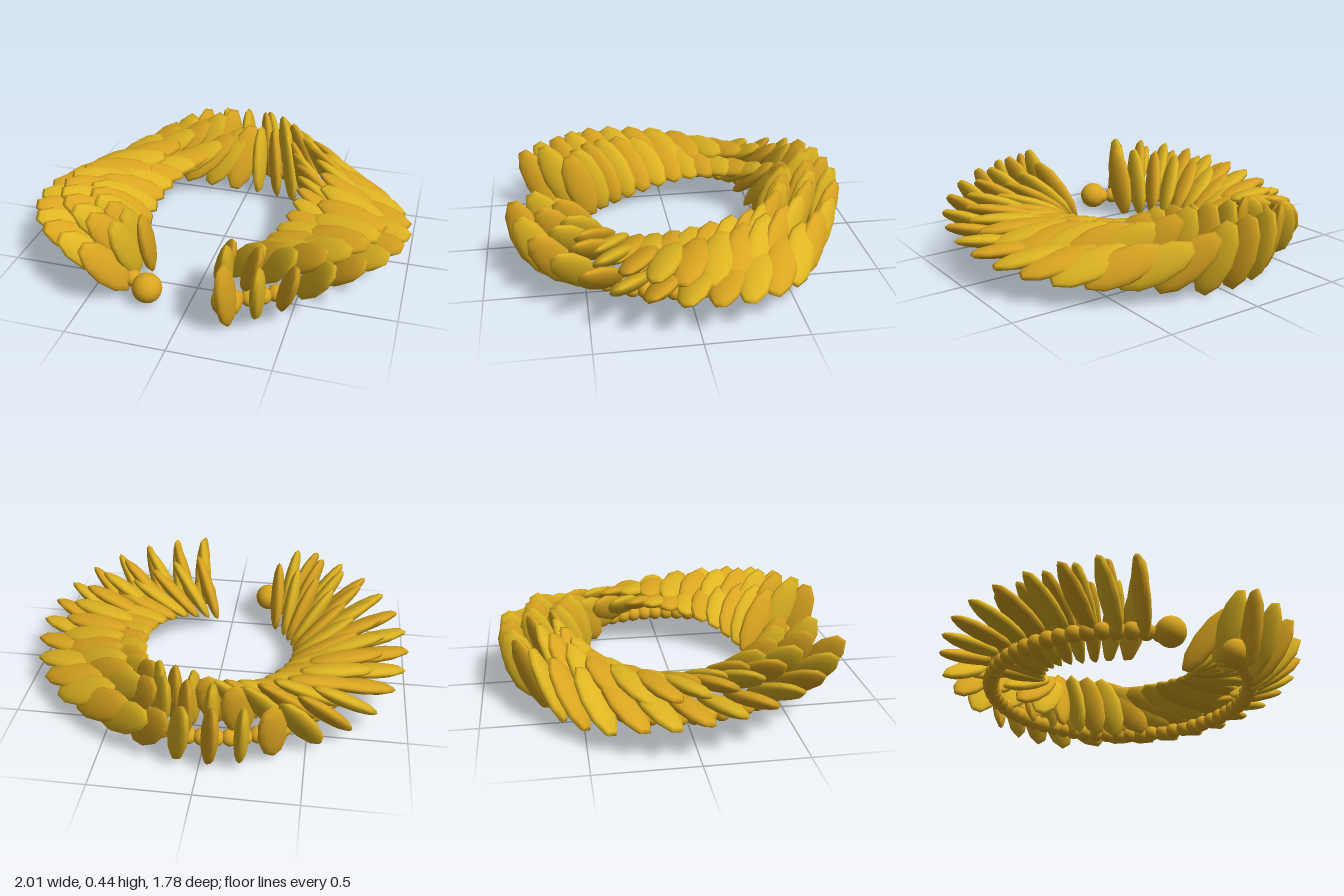
import * as THREE from 'three';

const RING = 0.685;
const rad = THREE.MathUtils.degToRad;

// Leaf pose around the wreath: [ring angle, heading, pitch, roll] in degrees
const POSES = [
  [16, 100, 75, 90], [27, 76, 65, 80], [40, 52, 54, 66], [52, 37, 39, 50],
  [70, 26, 20, 34], [90, 20, 4, 18], [112, 20, -12, 0], [130, 23, -20, -30],
  [142, 29, -23, -62], [153, 35, -28, -74], [163, 40, -44, -80], [172, 51, -68, -83],
  [182, 60, -74, -83], [191, 65, -74, -84], [202, 92, -72, -70], [213, 135, -60, -32],
  [223, 147, -48, -26], [235, 158, -35, -24], [247, 157, -16, -18], [270, 162, 3, -18],
  [290, 157, 16, -28], [308, 150, 30, -38], [320, 143, 42, -50], [331, 135, 52, -65],
  [345, 110, 66, -75], [360, 85, 76, -80],
];

function poseAt(angle) {
  let k = 1;
  while (k < POSES.length - 1 && POSES[k][0] < angle) k++;
  const a = POSES[k - 1], b = POSES[k];
  const t = THREE.MathUtils.clamp((angle - a[0]) / (b[0] - a[0]), 0, 1);
  return [1, 2, 3].map((j) => rad(a[j] + (b[j] - a[j]) * t));
}

// Basis with x along the leaf, y through its thickness, z across it
function leafBasis(angle) {
  const [heading, pitch, roll] = poseAt(angle);
  const along = new THREE.Vector3(
    Math.cos(heading) * Math.cos(pitch), Math.sin(pitch), Math.sin(heading) * Math.cos(pitch));
  const side = new THREE.Vector3(-Math.sin(heading), 0, Math.cos(heading));
  const lift = new THREE.Vector3().crossVectors(along, side);
  const across = side.multiplyScalar(Math.cos(roll)).addScaledVector(lift, Math.sin(roll));
  const normal = new THREE.Vector3().crossVectors(across, along);
  return new THREE.Matrix4().makeBasis(along, normal, across);
}

function onRing(object, angle, radius, y) {
  object.position.set(radius * Math.sin(rad(angle)), y, radius * Math.cos(rad(angle)));
}

export function createModel() {
  const model = new THREE.Group();
  model.name = 'laurelWreath';
  const gold = new THREE.MeshStandardMaterial({ color: 0xdaa520 });
  gold.name = 'gold';
  const paleGold = new THREE.MeshStandardMaterial({ color: 0xdeb422 });
  paleGold.name = 'pale gold';

  // Band of overlapping beads, open at the front
  const band = new THREE.Group();
  band.name = 'beadBand';
  const beadGeometry = new THREE.SphereGeometry(0.044, 14, 10);
  const beads = 57;
  for (let i = 0; i < beads; i++) {
    const bead = new THREE.Mesh(beadGeometry, gold);
    bead.name = 'bead';
    onRing(bead, 20 + (320 * i) / (beads - 1), RING, 0.09);
    band.add(bead);
  }
  model.add(band);

  // Larger balls closing the two ends
  const ballGeometry = new THREE.SphereGeometry(0.075, 20, 14);
  for (const s of [-1, 1]) {
    const ball = new THREE.Mesh(ballGeometry, gold);
    ball.name = s > 0 ? 'leftEndBall' : 'rightEndBall';
    onRing(ball, s * 16.5, 0.708, 0.092);
    model.add(ball);
  }

  // Three rows of flattened leaves
  const leafGeometry = new THREE.SphereGeometry(1, 10, 8);
  leafGeometry.rotateY(Math.PI / 10);
  leafGeometry.scale(0.205, 0.036, 0.086);
  const rows = [
    { name: 'outerLeaves', radius: 0.812, y: 0.2, shift: 0 },
    { name: 'middleLeaves', radius: 0.685, y: 0.25, shift: 12 },
    { name: 'innerLeaves', radius: 0.55, y: 0.215, shift: 24 },
  ];
  const leaves = 31;
  rows.forEach((row, r) => {
    const group = new THREE.Group();
    group.name = row.name;
    for (let i = 0; i < leaves; i++) {
      const angle = 16 + (315 * i) / (leaves - 1);
      const leaf = new THREE.Mesh(leafGeometry, (i + r) % 2 ? paleGold : gold);
      leaf.name = 'leaf';
      leaf.quaternion.setFromRotationMatrix(leafBasis(angle + row.shift));
      onRing(leaf, angle, row.radius, row.y);
      group.add(leaf);
    }
    model.add(group);
  });
  return model;
}
